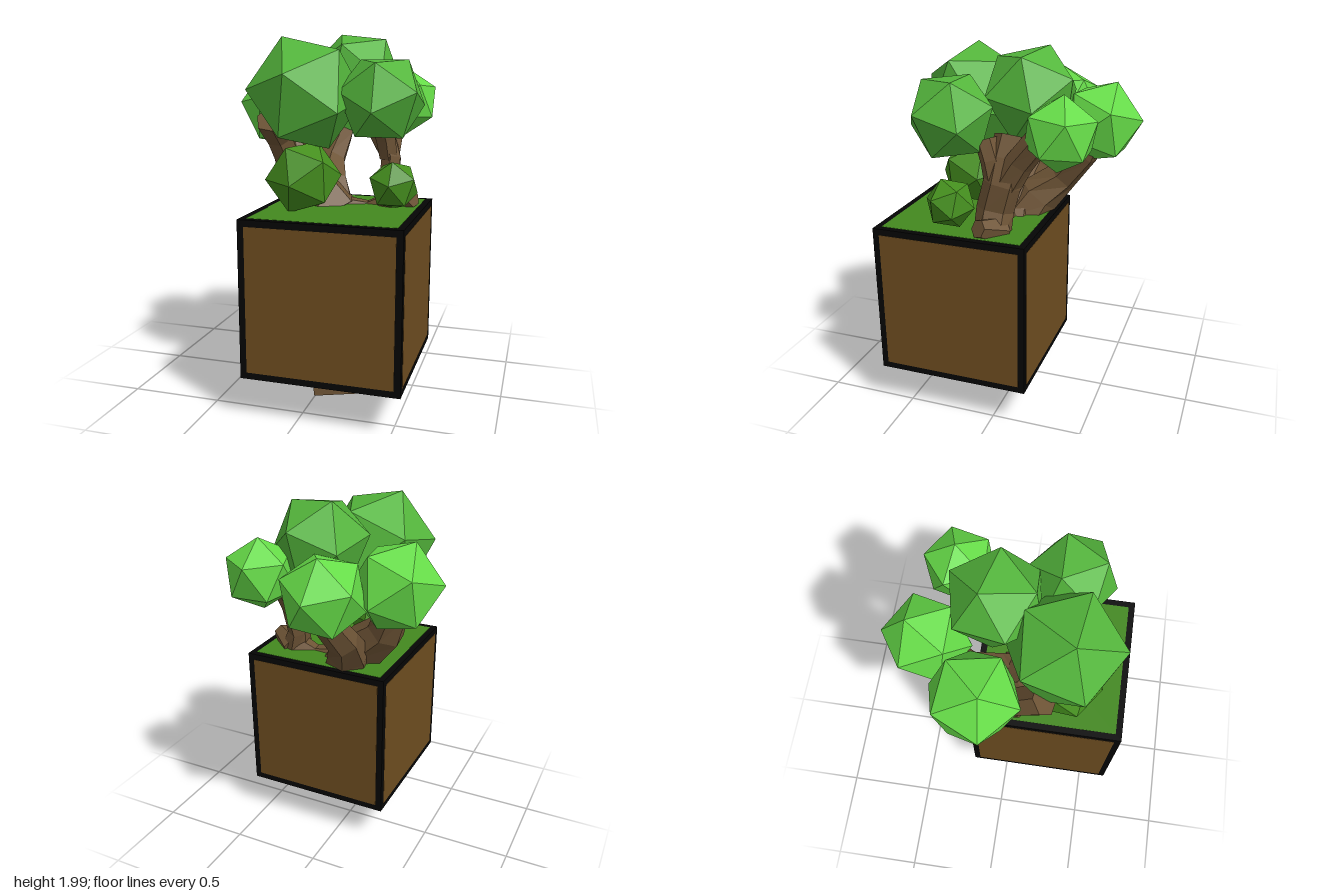
import * as THREE from 'three';

const mat = (name, color) => {
  const m = new THREE.MeshStandardMaterial({ color });
  m.name = name;
  return m;
};

// Orthonormal frame whose x axis is a, with b lying in its xy plane
function frame(a, b) {
  const x = a.clone().normalize();
  const z = x.clone().cross(b).normalize();
  return new THREE.Matrix4().makeBasis(x, z.clone().cross(x), z);
}

// Faceted leaf ball: one corner points along dir, a neighbouring corner towards next
function leafBall(name, material, center, r, dir, next) {
  const t = (1 + Math.sqrt(5)) / 2;
  const from = frame(new THREE.Vector3(1, t, 0), new THREE.Vector3(-1, t, 0));
  const to = frame(new THREE.Vector3(...dir), new THREE.Vector3(...next));
  const mesh = new THREE.Mesh(new THREE.IcosahedronGeometry(r, 0), material);
  mesh.quaternion.setFromRotationMatrix(to.multiply(from.transpose()));
  mesh.position.set(...center);
  mesh.name = name;
  return mesh;
}

// Faceted limb lofted through rings [x, y, z, depth radius, width radius], with closed ends
function limb(name, material, rings, sides = 6) {
  const pts = rings.map(p => new THREE.Vector3(p[0], p[1], p[2]));
  const pos = [], index = [], last = pts.length - 1;
  const ref = new THREE.Vector3(0.2, 0, 1).normalize();
  pts.forEach((p, i) => {
    const [, , , ru, rv = ru] = rings[i];
    const tan = pts[Math.min(i + 1, last)].clone().sub(pts[Math.max(i - 1, 0)]).normalize();
    const u = ref.clone().addScaledVector(tan, -ref.dot(tan)).normalize();
    const v = tan.clone().cross(u);
    for (let k = 0; k < sides; k++) {
      const a = (k / sides) * Math.PI * 2;
      const q = p.clone().addScaledVector(u, Math.cos(a) * ru).addScaledVector(v, Math.sin(a) * rv);
      pos.push(q.x, q.y, q.z);
      if (i < last) {
        const n = (k + 1) % sides, b = i * sides, c = b + sides;
        index.push(b + k, b + n, c + n, b + k, c + n, c + k);
      }
    }
  });
  for (let k = 1; k < sides - 1; k++) {
    const e = last * sides;
    index.push(0, k + 1, k, e, e + k, e + k + 1);
  }
  let g = new THREE.BufferGeometry();
  g.setAttribute('position', new THREE.Float32BufferAttribute(pos, 3));
  g.setIndex(index);
  g = g.toNonIndexed();
  g.computeVertexNormals();
  const mesh = new THREE.Mesh(g, material);
  mesh.name = name;
  return mesh;
}

export function createModel() {
  const group = new THREE.Group();
  group.name = 'treeOnBlock';
  const black = mat('blackEdge', 0x050505);
  const soil = mat('soilBrown', 0x6e4d20);
  const grass = mat('grassGreen', 0x43891f);
  const bark = mat('barkBrown', 0x6e5436);
  const leaf = mat('leafGreen', 0x54b63c);
  const lightLeaf = mat('lightLeafGreen', 0x66dc48);
  const bush = mat('bushGreen', 0x458f1e);

  // Block with black edges and coloured panels
  const block = new THREE.Group();
  block.name = 'block';
  block.position.set(0.131, 0.65, 0.222);
  const size = 0.845, inner = 0.775, thin = 0.003;
  const core = new THREE.Mesh(new THREE.BoxGeometry(size, size, size), black);
  core.name = 'blockEdges';
  block.add(core);
  const faces = [
    ['frontPanel', 0, 0, 1], ['backPanel', 0, 0, -1], ['leftPanel', 1, 0, 0],
    ['rightPanel', -1, 0, 0], ['grassTop', 0, 1, 0], ['bottomPanel', 0, -1, 0],
  ];
  for (const [name, x, y, z] of faces) {
    const panel = new THREE.Mesh(
      new THREE.BoxGeometry(x ? thin : inner, y ? thin : inner, z ? thin : inner),
      y > 0 ? grass : soil);
    panel.position.set(x, y, z).multiplyScalar(size / 2);
    panel.name = name;
    block.add(panel);
  }
  group.add(block);

  // Root peg poking out underneath
  const root = new THREE.Mesh(new THREE.BoxGeometry(0.245, 0.4, 0.245), bark);
  root.name = 'rootPeg';
  root.position.set(0.085, 0.225, 0.175);
  root.rotation.set(-0.07, 0.14, 0.13);
  group.add(root);

  // Trunks and branches
  const limbs = [
    ['rightTrunk', [[0.02, 1.0, 0.06, 0.18], [-0.07, 1.14, 0.05, 0.14], [-0.21, 1.27, 0.01, 0.11], [-0.26, 1.42, -0.02, 0.1], [-0.28, 1.55, -0.1, 0.09]]],
    ['rightFork', [[-0.24, 1.32, 0.03, 0.08], [-0.265, 1.43, 0.08, 0.08], [-0.27, 1.54, 0.2, 0.09]]],
    ['backBranch', [[0.02, 1.0, 0, 0.14], [-0.03, 1.15, -0.09, 0.12], [-0.06, 1.27, -0.22, 0.09], [-0.03, 1.42, -0.35, 0.075], [-0.03, 1.5, -0.39, 0.07]]],
    ['leftRoot', [[0.08, 1.02, 0.05, 0.1], [0.24, 1.03, 0.03, 0.06], [0.36, 1.07, 0.02, 0.08]]],
    ['leftTrunk', [[0.38, 1.02, 0.04, 0.1], [0.345, 1.18, 0.03, 0.1, 0.06], [0.35, 1.32, -0.01, 0.1, 0.06], [0.3, 1.44, -0.03, 0.11, 0.075], [0.25, 1.55, -0.04, 0.1, 0.08]]],
    ['leftFrontFork', [[0.34, 1.34, 0.02, 0.07, 0.055], [0.33, 1.44, 0.05, 0.06], [0.31, 1.54, 0.09, 0.06]]],
    ['leftBackFork', [[0.34, 1.32, -0.03, 0.08, 0.055], [0.34, 1.44, -0.1, 0.075, 0.06], [0.35, 1.57, -0.2, 0.07]]],
    ['leftStump', [[0.36, 1.07, 0, 0.08], [0.49, 1.12, 0.07, 0.05]]],
  ];
  for (const [name, rings] of limbs) group.add(limb(name, bark, rings));

  // Crown and low bushes
  const balls = [
    ['frontCrown', leaf, [-0.05, 1.68, 0.27], 0.313, [-0.115, 0.29, 0.04], [0.005, 0.04, 0.28]],
    ['topCrown', leaf, [0.125, 1.755, -0.095], 0.265, [0.17, 0.21, 0], [-0.12, 0.23, -0.07]],
    ['leftCrown', leaf, [0.352, 1.66, 0.26], 0.237, [0.13, 0.2, -0.06], [-0.13, 0.2, -0.06]],
    ['rightCrown', lightLeaf, [-0.325, 1.59, -0.14], 0.25, [-0.08, 0.22, 0.04], [-0.04, 0.02, 0.24]],
    ['backCrown', lightLeaf, [-0.055, 1.59, -0.42], 0.23, [-0.06, 0.93, -0.36], [0, 0.1, -1]],
    ['backLeftCrown', lightLeaf, [0.36, 1.615, -0.32], 0.197, [0, 1, -0.08], [-0.04, 0.4, -1]],
    ['frontBush', bush, [-0.055, 1.245, 0.3], 0.203, [-0.05, -0.1, 1], [-0.35, 1, 0.3]],
    ['smallBush', bush, [0.42, 1.215, 0.25], 0.136, [0, 0.1, 1], [0, 1, 0.3]],
  ];
  for (const b of balls) group.add(leafBall(...b));

  return group;
}
